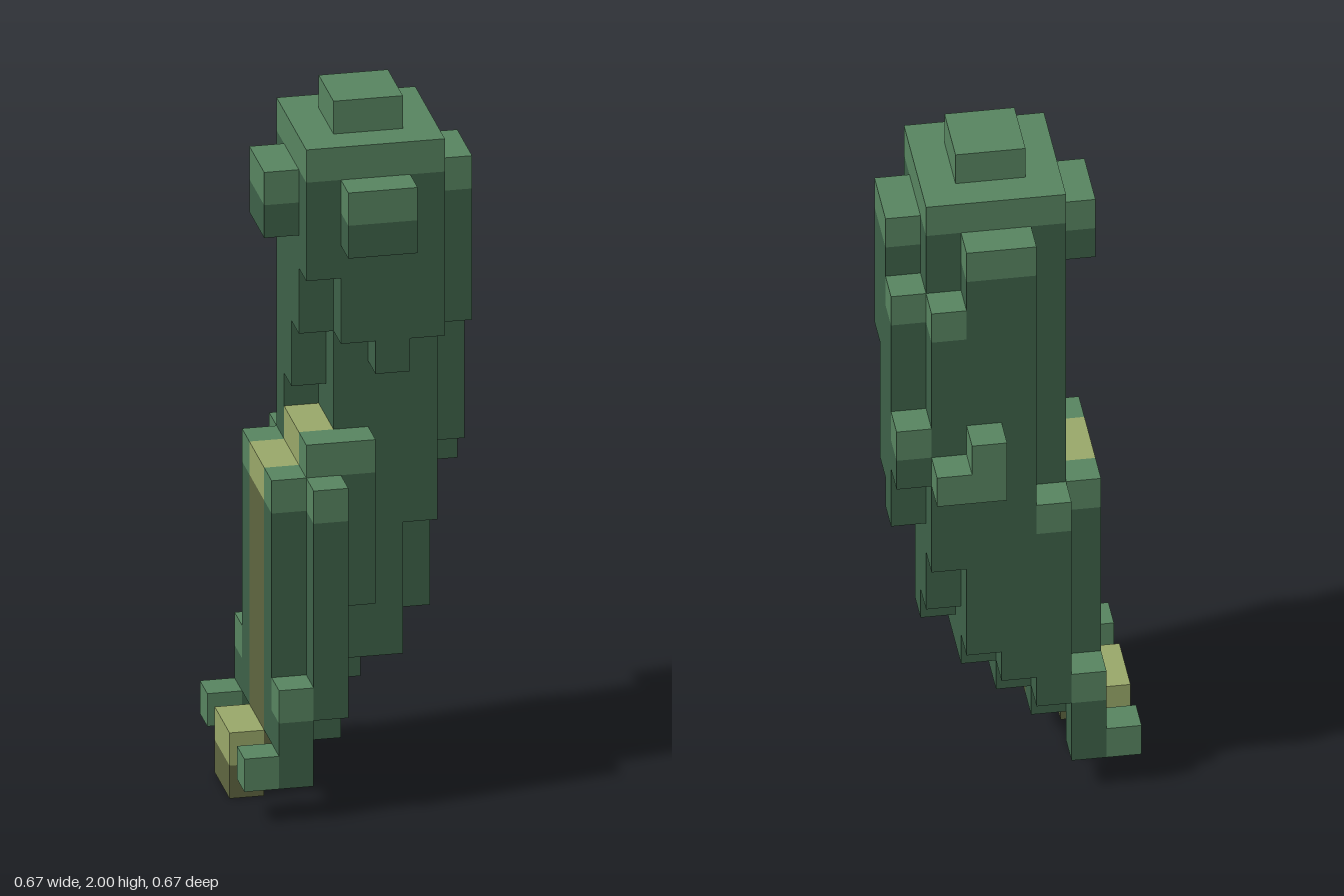
import * as THREE from 'three';
import { mergeGeometries } from 'three/addons/utils/BufferGeometryUtils.js';

const U = 2 / 21; // one block

const mat = (name, color) => {
  const m = new THREE.MeshStandardMaterial({ color });
  m.name = name;
  return m;
};

// Box from block edges: x, z, then y ranges
function block([x0, x1, z0, z1, y0, y1]) {
  return new THREE.BoxGeometry((x1 - x0) * U, (y1 - y0) * U, (z1 - z0) * U)
    .translate(((x0 + x1) / 2 - 3.5) * U, ((y0 + y1) / 2) * U, ((z0 + z1) / 2 - 3.5) * U);
}

export function createModel() {
  const model = new THREE.Group();
  model.name = 'blockyStalk';
  const green = mat('darkGreen', 0x3d6148);
  const lightGreen = mat('lightGreen', 0x578460);
  const olive = mat('darkOlive', 0x5e6540);
  const lightOlive = mat('lightOlive', 0x99a869);
  const midOlive = mat('midOlive', 0x828a50);

  const add = (name, boxes, material) => {
    const mesh = new THREE.Mesh(mergeGeometries(boxes.map(block)), material);
    mesh.name = name;
    model.add(mesh);
  };

  // Columns whose topmost block is the lighter tip colour
  const addTipped = (name, boxes, body, tip) => {
    const stems = boxes.filter((b) => b[5] - b[4] > 1)
      .map(([a, b, c, d, y0, y1]) => [a, b, c, d, y0, y1 - 1]);
    const tips = boxes.map(([a, b, c, d, , y1]) => [a, b, c, d, y1 - 1, y1]);
    if (stems.length) add(name + 'Stem', stems, body);
    add(name + 'Tip', tips, tip);
  };

  // Rounded-off top
  add('crown', [[3, 5, 3, 5, 20, 21], [2, 6, 2, 6, 19, 20]], lightGreen);

  // Main trunk, stepping upward underneath toward the left side
  add('trunk', [
    [2, 3, 2, 3, 2, 19],
    [3, 4, 2, 4, 3, 19],
    [3, 4, 4, 5, 4, 19],
    [4, 5, 2, 5, 4, 19],
    [5, 6, 2, 3, 6, 19],
    [5, 6, 3, 4, 5, 19],
    [5, 6, 4, 5, 8, 19],
  ], green);

  // Overhang below the crown at the front and right
  add('overhang', [
    [2, 3, 3, 4, 12, 19],
    [2, 3, 4, 5, 14, 19],
    [2, 3, 5, 6, 16, 19],
    [3, 4, 5, 6, 14, 19],
    [4, 5, 5, 6, 13, 19],
    [5, 6, 5, 6, 14, 19],
  ], green);

  // Upper bumps on the front and right
  addTipped('upperBump', [
    [3, 5, 6, 7, 17, 19],
    [1, 2, 3, 5, 17, 19],
  ], green, lightGreen);

  // Ridge along the left side
  addTipped('leftRidge', [
    [6, 7, 3, 4, 10, 19],
    [6, 7, 4, 5, 14, 19],
    [6, 7, 2, 3, 9, 17],
    [6, 7, 1, 2, 11, 13],
  ], green, lightGreen);

  // Ridge along the back
  addTipped('backRidge', [
    [3, 4, 1, 2, 4, 19],
    [4, 5, 1, 2, 5, 19],
    [5, 6, 1, 2, 8, 17],
    [2, 3, 1, 2, 3, 10],
  ], green, lightGreen);

  // Small knob on the back
  add('backKnob', [[4, 5, 0, 1, 11, 13], [5, 6, 0, 1, 11, 12]], lightGreen);

  // Lower bulge at the front and right
  addTipped('lowerBulge', [
    [2, 3, 5, 6, 2, 11],
    [3, 4, 5, 6, 6, 11],
    [2, 3, 6, 7, 3, 10],
    [1, 2, 5, 6, 2, 10],
    [1, 2, 2, 3, 2, 10],
  ], green, lightGreen);

  // Olive stripe down the right side, ending in the foot
  addTipped('stripe', [[1, 2, 3, 5, 1, 10], [0, 1, 3, 5, 0, 2]], olive, lightOlive);
  addTipped('innerStripe', [[2, 3, 3, 4, 2, 11], [2, 3, 4, 5, 4, 11]], olive, lightOlive);
  add('innerStripeBase', [[2, 3, 4, 5, 2, 3]], olive);
  add('innerStripeSpot', [[2, 3, 4, 5, 3, 4]], midOlive);

  // Paired side toes, front and back
  for (const z of [1, 6]) {
    addTipped(z === 1 ? 'backToe' : 'frontToe', [
      [1, 2, z, z + 1, 1, 4],
      [0, 1, z, z + 1, 1, 2],
    ], green, lightGreen);
  }

  return model;
}
